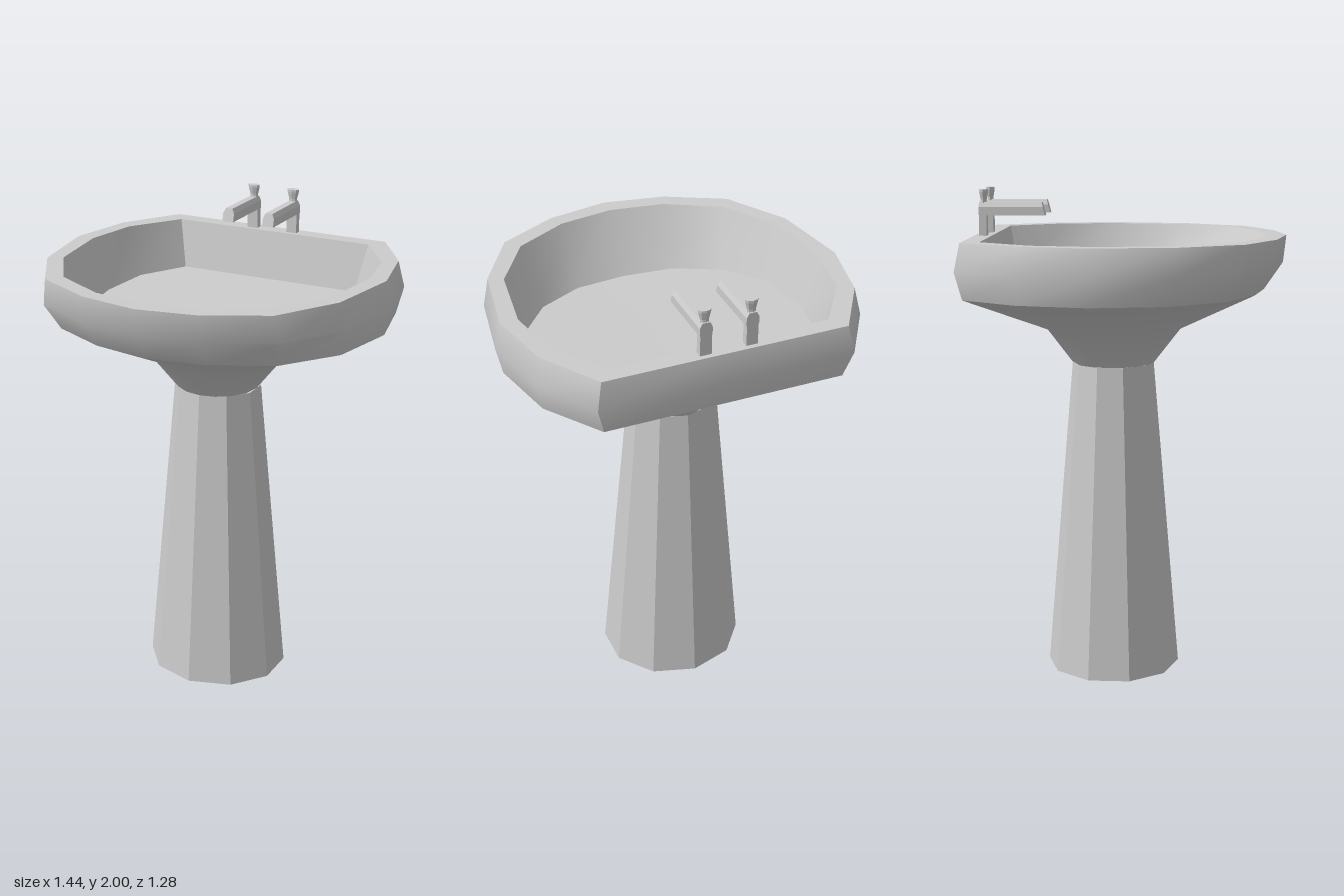
import * as THREE from 'three';
import { toCreasedNormals } from 'three/addons/utils/BufferGeometryUtils.js';

const material = new THREE.MeshStandardMaterial({ color: 0xcccccc });
const flatMaterial = new THREE.MeshStandardMaterial({ color: 0xcccccc, flatShading: true });

const CX = -0.013, CZ = -0.068; // pedestal axis

function addMesh(parent, name, geometry, mat = material) {
  const mesh = new THREE.Mesh(geometry, mat);
  mesh.name = name;
  parent.add(mesh);
  return mesh;
}

// Full ring from the left half, listed front to back as [x, z]
function mirrorRing(y, half) {
  const right = half.slice(1, -1).reverse().map(([x, z]) => [-x, z]);
  return [...half, ...right].map(([x, z]) => [x, y, z]);
}

// Round ring whose points follow the directions of the bowl corners
function roundRing(y, radius, guide) {
  return guide.map(([gx, , gz]) => {
    const a = Math.atan2(gx, gz - CZ);
    return [CX + 1.02 * radius * Math.sin(a), y, CZ + radius * Math.cos(a)];
  });
}

// Skin between rings, in order; edges sharper than crease stay hard
function loft(rings, crease) {
  const n = rings[0].length;
  const pos = [];
  for (let i = 0; i < rings.length - 1; i++) {
    for (let j = 0; j < n; j++) {
      const k = (j + 1) % n;
      const a = rings[i][j], b = rings[i][k], c = rings[i + 1][k], d = rings[i + 1][j];
      pos.push(...a, ...b, ...c, ...a, ...c, ...d);
    }
  }
  const g = new THREE.BufferGeometry();
  g.setAttribute('position', new THREE.Float32BufferAttribute(pos, 3));
  return toCreasedNormals(g, crease);
}

function makeBasin() {
  const lower = mirrorRing(1.595, [[0, 0.55], [0.24, 0.51], [0.47, 0.40], [0.635, 0.18],
    [0.695, -0.11], [0.635, -0.39], [0.48, -0.615], [0, -0.615]]);
  const belly = mirrorRing(1.705, [[0, 0.625], [0.25, 0.585], [0.505, 0.465], [0.665, 0.21],
    [0.72, -0.11], [0.66, -0.405], [0.51, -0.64], [0, -0.64]]);
  const rim = mirrorRing(1.815, [[0, 0.637], [0.25, 0.592], [0.49, 0.47], [0.64, 0.22],
    [0.695, -0.11], [0.638, -0.385], [0.488, -0.62], [0, -0.62]]);
  const lip = mirrorRing(1.815, [[0, 0.565], [0.225, 0.53], [0.44, 0.415], [0.583, 0.19],
    [0.625, -0.11], [0.583, -0.34], [0.44, -0.55], [0, -0.55]]);
  // Basin floor falls gently towards the front
  const floor = mirrorRing(0, [[0, 0.42], [0.21, 0.40], [0.395, 0.305], [0.525, 0.14],
    [0.555, -0.11], [0.525, -0.33], [0.40, -0.512], [0, -0.512]])
    .map(([x, , z]) => [x, 1.595 - 0.04 * z, z]);
  const centre = floor.map(() => [0, 1.595, -0.05]);

  const basin = new THREE.Group();
  basin.name = 'basin';
  addMesh(basin, 'basinUnderside',
    loft([roundRing(1.29, 0.17, lower), roundRing(1.435, 0.282, lower), lower], 1.2));
  addMesh(basin, 'basinWall', loft([lower, belly, rim], 0.75));
  addMesh(basin, 'basinRim', loft([rim, lip], 0.5));
  addMesh(basin, 'basinBowl', loft([lip, floor, centre], 0.6));
  return basin;
}

function makeTap() {
  const tap = new THREE.Group();
  // Upright post behind the basin
  addMesh(tap, 'tapPost', new THREE.BoxGeometry(0.046, 0.11, 0.03), flatMaterial)
    .position.set(0, 1.855, -0.585);

  // Spout with bevelled top edges and a sloping end
  const section = new THREE.Shape([[-0.025, 1.897], [0.025, 1.897], [0.025, 1.93],
    [0.015, 1.95], [-0.015, 1.95], [-0.025, 1.93]].map(([x, y]) => new THREE.Vector2(x, y)));
  const spout = new THREE.ExtrudeGeometry(section, { depth: 0.262, bevelEnabled: false });
  spout.translate(0, 0, -0.6);
  const p = spout.attributes.position;
  for (let i = 0; i < p.count; i++) {
    if (p.getZ(i) > -0.4) p.setZ(i, -0.333 - (p.getY(i) - 1.897) * 0.25);
  }
  addMesh(tap, 'tapSpout', spout, flatMaterial);

  // Flared handle, widest at its flat top
  const handle = new THREE.LatheGeometry([[0, 1.945], [0.018, 1.945], [0.018, 1.96], [0.026, 1.99],
    [0.026, 2.0], [0, 2.0]].map(([r, y]) => new THREE.Vector2(r, y)), 8);
  handle.scale(1, 1, 0.7);
  addMesh(tap, 'tapHandle', handle, flatMaterial).position.z = -0.583;
  return tap;
}

export function createModel() {
  const model = new THREE.Group();
  model.name = 'pedestalSink';

  // Tapered ten-sided pedestal, slightly wider than deep
  const pedestal = new THREE.CylinderGeometry(0.168, 0.276, 1.29, 10);
  pedestal.scale(1.085, 1, 1);
  addMesh(model, 'pedestal', pedestal, flatMaterial).position.set(CX, 0.645, CZ);

  model.add(makeBasin());

  // Pair of taps on the back ledge
  [['rightTap', -0.104], ['leftTap', 0.079]].forEach(([name, x]) => {
    const tap = makeTap();
    tap.name = name;
    tap.position.x = x;
    model.add(tap);
  });
  return model;
}
